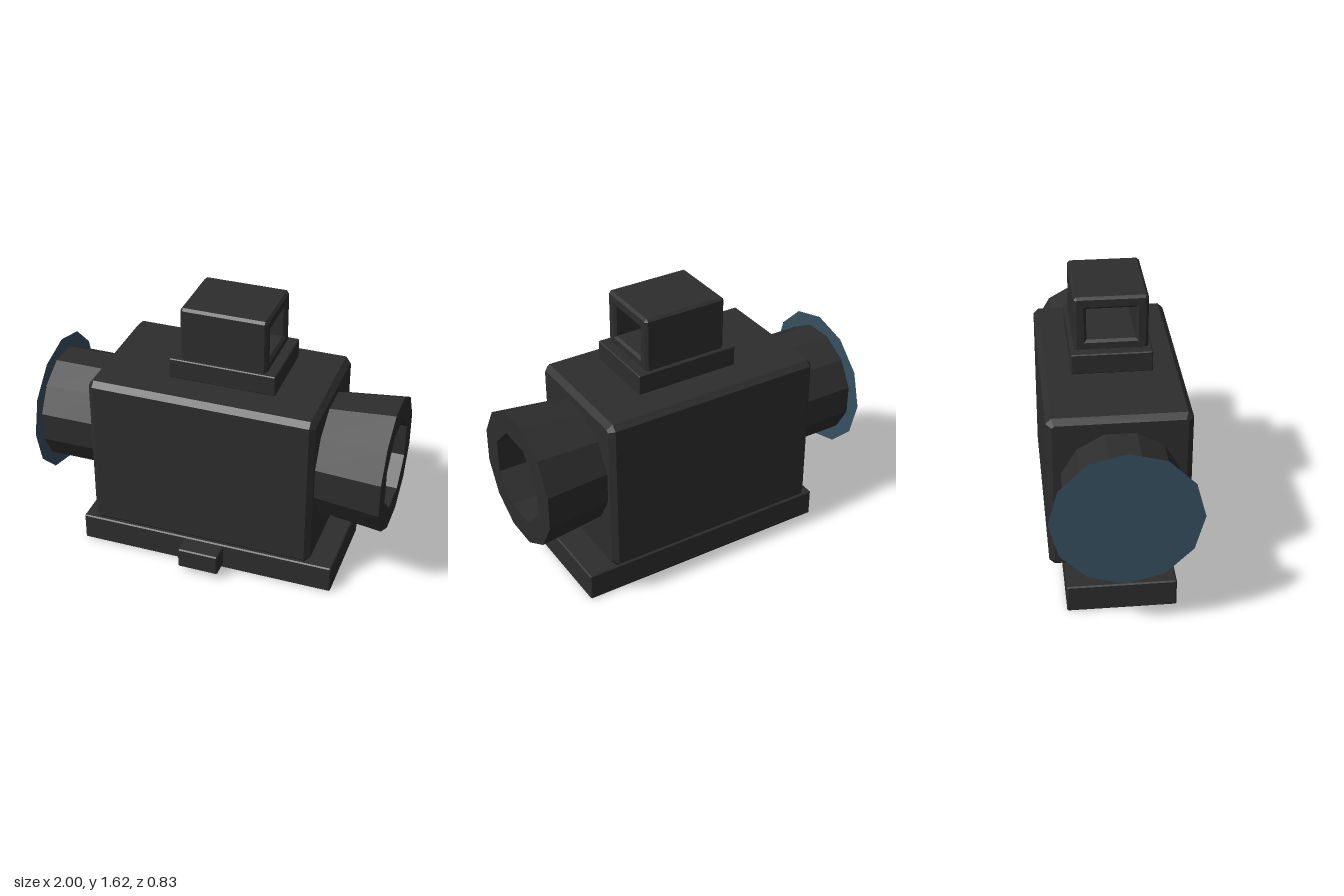
import * as THREE from 'three';

const AXIS_Y = 0.757, AXIS_Z = -0.008; // centre line of the optical tunnel
const TUNNEL_R = 0.257;

// Regular polygon with flat top, as points in (-z, y)
function polygon(radius, sides, cx = 0, cy = 0) {
  return Array.from({ length: sides }, (_, i) => {
    const a = ((i + 0.5) / sides) * Math.PI * 2;
    return new THREE.Vector2(cx + Math.cos(a) * radius, cy + Math.sin(a) * radius);
  });
}

// Extrude a (-z, y) shape along +x, starting at x0
function extrudeX(shape, x0, x1, bevel = 0) {
  const geo = new THREE.ExtrudeGeometry(shape, {
    depth: x1 - x0 - 2 * bevel,
    bevelEnabled: bevel > 0,
    bevelSize: bevel,
    bevelThickness: bevel,
    bevelSegments: 1,
  });
  geo.rotateY(Math.PI / 2);
  geo.translate(x0 + bevel, 0, 0);
  return geo;
}

// Box with all edges chamfered, optionally pierced along x
function chamferBox([x0, x1], [y0, y1], [z0, z1], b, hole) {
  const l = -z1 + b, r = -z0 - b, d = y0 + b, u = y1 - b, c = 0.414 * b;
  const shape = new THREE.Shape([
    [l + c, d], [r - c, d], [r, d + c], [r, u - c],
    [r - c, u], [l + c, u], [l, u - c], [l, d + c],
  ].map(([x, y]) => new THREE.Vector2(x, y)));
  if (hole) shape.holes.push(new THREE.Path(hole));
  return extrudeX(shape, x0, x1, b);
}

// Twelve-sided tube with an eight-sided bore, tapering from r0 to r1
function tube(x0, x1, r0, r1) {
  const shape = new THREE.Shape(polygon(r0, 12));
  shape.holes.push(new THREE.Path(polygon(TUNNEL_R, 8)));
  const geo = extrudeX(shape, x0, x1);
  const p = geo.attributes.position;
  for (let i = 0; i < p.count; i++) {
    const y = p.getY(i), z = p.getZ(i);
    if (Math.hypot(y, z) < TUNNEL_R + 0.02) continue; // leave the bore straight
    const k = 1 + (r1 / r0 - 1) * (p.getX(i) - x0) / (x1 - x0);
    p.setXYZ(i, p.getX(i), y * k, z * k);
  }
  geo.computeVertexNormals();
  geo.translate(0, AXIS_Y, AXIS_Z);
  return geo;
}

export function createModel() {
  const group = new THREE.Group();
  const housing = new THREE.MeshStandardMaterial({ color: 0x2d2d2d, flatShading: true });
  housing.name = 'charcoal';
  const glass = new THREE.MeshStandardMaterial({ color: 0x365060, side: THREE.DoubleSide });
  glass.name = 'blue glass';

  const add = (name, geo, mat = housing) => {
    const mesh = new THREE.Mesh(geo, mat);
    mesh.name = name;
    group.add(mesh);
  };

  // Mounting rail and its front knob
  add('mountRail', chamferBox([-0.78, 0.74], [0, 0.165], [-0.31, 0.295], 0.007));
  add('clampKnob', chamferBox([-0.14, 0.1], [0.04, 0.165], [0.298, 0.415], 0.007));

  // Main body, bored through; the bore opens by the bevel at both ends
  const bevel = 0.03;
  const bore = polygon(TUNNEL_R + bevel / Math.cos(Math.PI / 8), 8, -AXIS_Z, AXIS_Y);
  add('body', chamferBox([-0.67, 0.63], [0.23, 1.165], [-0.395, 0.377], bevel, bore));

  // Tubes at both ends, seated slightly inside the body
  add('eyepiece', tube(0.6, 1, 0.344, 0.386));
  add('objectiveTube', tube(-0.998, -0.64, 0.326, 0.326));

  // Lens disc closing the objective end
  const lens = new THREE.CircleGeometry(0.406, 12);
  lens.rotateY(-Math.PI / 2);
  lens.translate(-1, AXIS_Y, AXIS_Z);
  add('lens', lens, glass);

  // Upper plate and the open sight hood
  add('upperPlate', chamferBox([-0.245, 0.36], [1.19, 1.308], [-0.23, 0.212], 0.005));
  const b = 0.014, l = -0.125 - b, r = 0.142 + b, d = 1.36 - b, u = 1.545 + b;
  const windowHole = [[l, d], [r, d], [r, u], [l, u]].map(([x, y]) => new THREE.Vector2(x, y));
  add('sightHood', chamferBox([-0.185, 0.303], [1.295, 1.615], [-0.21, 0.193], b, windowHole));

  return group;
}
